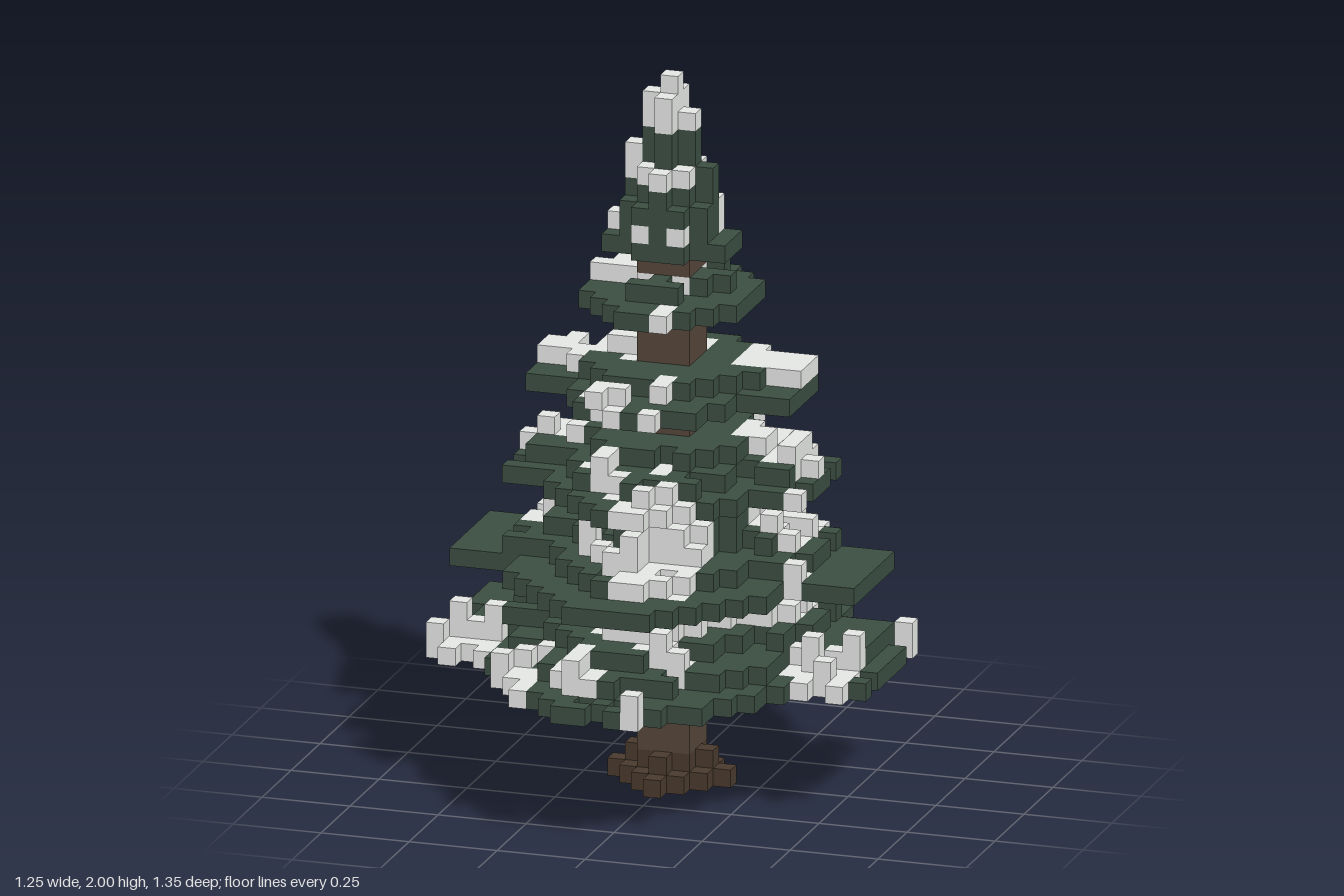
import * as THREE from 'three';
import { mergeGeometries } from 'three/addons/utils/BufferGeometryUtils.js';

const S = 0.05; // edge of one cube

// Half width of the widest bough ring for each step away from its middle row
const HALF = [12, 12, 12, 11, 12, 8, 8, 7.4, 7, 6, 5, 5, 3, 2];

// Tiers from bottom to top; each level is [height step, x reach, z reach]
const TIERS = {
  lowestBoughs: [[7, 12, 13], [8, 11, 11], [9, 8, 9], [10, 6, 7]],
  lowerBoughs: [[12, 11, 11], [13, 8, 9], [14, 6, 7], [15, 4, 5]],
  middleBoughs: [[17, 8, 9], [18, 7, 7], [19, 5, 4]],
  upperBoughs: [[22, 7, 7], [23, 5, 4]],
  highestBoughs: [[27, 4, 5], [28, 3, 3]],
  crown: [[30, 3, 2], [31, 2, 2], [32, 2, 2], [33, 2, 2], [34, 2, 2], [35, 1, 1],
    [36, 1, 1], [37, 1, 1], [38, 1, 1], [39, 0, 0]],
};

// Snow patches seen from above, x from-to and z from-to, grouped by height from-to
const SNOW = [
  { from: 7, to: 29, patches: [
    [-3, 3, -11, -9], [-8, -3, -9, -6], [-8, -4, -5, -3], [-8, 1, -3, 0], [5, 6, -7, -4],
    [2, 3, -8, -7], [-1, -1, -7, -7], [-1, -1, -5, -4], [-3, -2, 5, 5], [-2, -1, 6, 6],
    [-1, -1, 7, 7], [1, 3, 7, 8], [-2, 1, 1, 1], [-5, -5, 1, 1], [1, 1, 4, 5]] },
  { from: 7, to: 21, patches: [[4, 7, -3, 0], [6, 7, 1, 1], [8, 8, 2, 4]] },
  { from: 7, to: 10, patches: [
    [-12, -9, 3, 5], [9, 11, 3, 5], [10, 11, 2, 2], [11, 12, -5, -4], [-7, -5, 6, 11],
    [-1, -1, -13, -13], [2, 2, 13, 13]] },
  { from: 8, to: 8, patches: [[-3, -1, 9, 11]] },
  { from: 10, to: 10, patches: [[-6, 6, -7, 7]] },
  { from: 13, to: 15, patches: [[0, 3, 4, 9]] },
  { from: 17, to: 17, patches: [[0, 3, 8, 9]] },
];

// Repeatable noise from 0 to 1
function hash(x, y, z) {
  const n = Math.sin(x * 12.99 + y * 78.23 + z * 37.72) * 43758.55;
  return n - Math.floor(n);
}

const isSnowy = (x, y, z) => SNOW.some(({ from, to, patches }) => y >= from && y <= to
  && patches.some(([a, b, c, d]) => x >= a && x <= b && z >= c && z <= d));

function inside(x, z, rx, rz) {
  if (rx < 6) return (x / (rx + 0.4)) ** 2 + (z / (rz + 0.4)) ** 2 <= 1;
  const row = Math.round(Math.abs(z) / rz * 13);
  return row <= 13 && Math.abs(x) / rx * 12 <= HALF[row] + 0.4;
}

// One square for each of the six directions
const FACES = [
  [1, 0, 0, 0, Math.PI / 2], [-1, 0, 0, 0, -Math.PI / 2],
  [0, 1, 0, -Math.PI / 2, 0], [0, -1, 0, Math.PI / 2, 0],
  [0, 0, 1, 0, 0], [0, 0, -1, 0, Math.PI],
].map(([x, y, z, rx, ry]) => ({
  x, y, z,
  square: new THREE.PlaneGeometry(S, S).rotateX(rx).rotateY(ry)
    .translate(x * S / 2, y * S / 2, z * S / 2),
}));

export function createModel() {
  const paint = (name, color) => Object.assign(new THREE.MeshStandardMaterial({ color }), { name });
  const mats = {
    needles: paint('needle green', 0x3b4d41),
    snow: paint('snow white', 0xe8eae8),
    trunk: paint('trunk brown', 0x54453a),
    roots: paint('root brown', 0x493a2d),
  };
  const cells = new Map();
  const put = (x, y, z, part, mat) => cells.set([x, y, z].join(), { x, y, z, part, mat });

  // Trunk and stepped roots
  for (let y = 0; y < 31; y++) {
    const r = y === 0 ? 3 : y === 1 ? 2 : 1;
    const part = y < 2 ? 'roots' : 'trunk';
    for (let x = -r; x <= r; x++) for (let z = -r; z <= r; z++) {
      if (r === 1 || Math.abs(x) + Math.abs(z) <= r) put(x, y, z, part, part);
    }
  }

  // Frayed bough tiers with snow patches
  for (const [part, levels] of Object.entries(TIERS)) {
    const top = levels[levels.length - 1][0];
    levels.forEach(([y, rx, rz], n) => {
      for (let x = -rx; x <= rx; x++) for (let z = -rz; z <= rz; z++) {
        if (!inside(x, z, rx, rz)) continue;
        const h = hash(x, y, z);
        const rim = !inside(x + Math.sign(x), z + Math.sign(z), rx, rz);
        const onAxis = x === 0 || z === 0;
        if (n > 0 && y < 30 && rim && !onAxis && h < 0.2) continue;
        // Notches in the longest bough tips
        if (y === 7 && ((Math.abs(z) === 13 && x === 0) || (Math.abs(z) === 12 && Math.abs(x) === 1))) continue;
        // Tapering tip
        if ((y === 33 || y === 34) && Math.abs(x) + Math.abs(z) > 2) continue;
        if (y === 38 && x > 0) continue;
        if (y >= 36 && x && z && h < 0.6) continue;
        let snowy = isSnowy(x, y, z);
        if (n === 0) snowy = snowy && Math.hypot(x / rx, z / rz) > (y === 7 ? 0.7 : 0.6);
        if (y >= 30) {
          snowy = y >= 37 || (y === 36 && !onAxis) || (y === 34 && rim && x < 2)
            || (rim && !onAxis && h > 0.85);
        }
        put(x, y, z, part, snowy ? 'snow' : 'needles');
        // Loose lumps on top of the snow
        if (snowy && y < 30 && y < top && hash(z, y, x) < 0.25) put(x, y + 1, z, part, 'snow');
      }
    });
  }

  // Side twigs on the widest ring
  for (const sx of [-1, 1]) for (const sz of [-1, 1]) for (const x of [9 * sx, 11 * sx]) {
    put(x, 7, 5 * sz, 'lowestBoughs', isSnowy(x, 7, 5 * sz) ? 'snow' : 'needles');
  }

  // Snow lying on the side of the upper boughs
  for (let x = 4; x <= 7; x++) for (let z = -3; z <= 0; z++) {
    if (inside(x, z, 7, 7)) put(x, 23, z, 'upperBoughs', 'snow');
  }

  // Single snow lumps on the tips and tops of the upper tiers
  const lumps = {
    middleBoughs: [[-4, 20, 0], [8, 18, 0]],
    upperBoughs: [[-2, 24, 0], [-3, 24, 0], [-7, 23, 0], [-6, 23, 0], [-2, 23, 7], [-2, 23, 6]],
    highestBoughs: [[0, 28, -5], [1, 28, -4]],
    crown: [[-3, 30, 0], [-3, 31, 0], [-2, 35, 0]],
  };
  for (const [part, list] of Object.entries(lumps)) {
    for (const [x, y, z] of list) put(x, y, z, part, 'snow');
  }

  // Gather the exposed cube faces by part and colour
  const batches = {};
  for (const { x, y, z, part, mat } of cells.values()) {
    for (const f of FACES) {
      if (cells.has([x + f.x, y + f.y, z + f.z].join())) continue;
      ((batches[part] ??= {})[mat] ??= [])
        .push(f.square.clone().translate(x * S, (y + 0.5) * S, z * S));
    }
  }
  const tree = new THREE.Group();
  tree.name = 'snowyTree';
  for (const [part, colours] of Object.entries(batches)) {
    const group = new THREE.Group();
    group.name = part;
    for (const [mat, squares] of Object.entries(colours)) {
      const mesh = new THREE.Mesh(mergeGeometries(squares), mats[mat]);
      mesh.name = mat === 'snow' ? part + 'Snow' : part + 'Body';
      group.add(mesh);
    }
    tree.add(group);
  }
  return tree;
}
